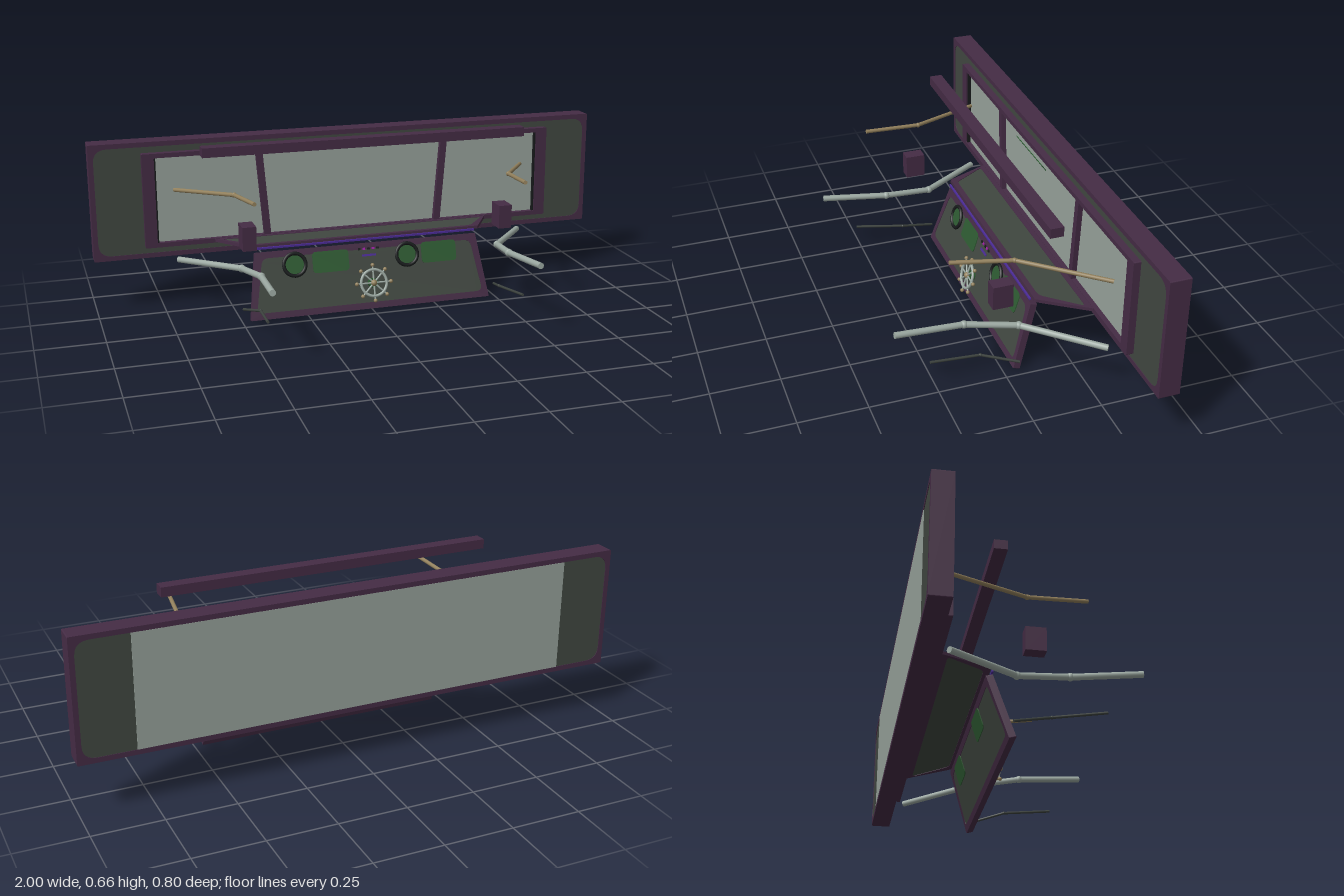
import * as THREE from 'three';

const mat = (name, color) => {
  const m = new THREE.MeshStandardMaterial({ color });
  m.name = name;
  return m;
};

export function createModel() {
  const purple = mat('plum frame', 0x452c45);
  const dark = mat('dark panel', 0x414841);
  const glass = mat('pale glass', 0x98a49c);
  const steel = mat('grey steel', 0x9ba8a1);
  const brass = mat('brass', 0x92805c);
  const iron = mat('dark iron', 0x3c423e);
  const green = mat('green screen', 0x2d5a31);
  const black = mat('black rim', 0x171a1b);
  const violet = mat('violet light', 0x4c2c98);
  const magenta = mat('magenta light', 0xa020a8);

  const model = new THREE.Group();

  const add = (parent, name, geo, material, x = 0, y = 0, z = 0) => {
    const m = new THREE.Mesh(geo, material);
    m.name = name;
    m.position.set(x, y, z);
    parent.add(m);
    return m;
  };
  const box = (parent, name, material, w, h, d, x, y, z) =>
    add(parent, name, new THREE.BoxGeometry(w, h, d), material, x, y, z);

  const group = (name, x, y, z, rx = 0) => {
    const g = new THREE.Group();
    g.name = name;
    g.position.set(x, y, z);
    g.rotation.x = rx;
    model.add(g);
    return g;
  };

  // Symmetric trapezoid with rounded corners
  const trapezoid = (bottom, top, y0, y1, r, Kind = THREE.Shape) => {
    const c = [[-bottom, y0], [bottom, y0], [top, y1], [-top, y1]].map(p => new THREE.Vector2(...p));
    const s = new Kind();
    c.forEach((p, i) => {
      const a = p.clone().add(c[(i + 3) % 4].clone().sub(p).setLength(r));
      const b = p.clone().add(c[(i + 1) % 4].clone().sub(p).setLength(r));
      if (i) s.lineTo(a.x, a.y);
      else s.moveTo(a.x, a.y);
      s.quadraticCurveTo(p.x, p.y, b.x, b.y);
    });
    s.closePath();
    return s;
  };
  const extrude = (shape, depth) => {
    const g = new THREE.ExtrudeGeometry(shape, { depth, bevelEnabled: false, curveSegments: 5 });
    return g.translate(0, 0, -depth / 2);
  };

  // Frame with an inset panel, centred on its own depth
  const framedPanel = (parent, name, bottom, top, h, depth, border, r) => {
    const shape = trapezoid(bottom, top, -h / 2, h / 2, 0.004);
    const inner = [bottom - border, top - border, -h / 2 + border, h / 2 - border, r];
    shape.holes.push(trapezoid(...inner, THREE.Path));
    add(parent, name + 'Frame', extrude(shape, depth), purple);
    add(parent, name + 'Panel', extrude(trapezoid(...inner), depth - 0.004), dark);
  };

  // Jointed rod along a list of points
  const rod = (name, points, radius, material) => {
    const g = group(name, 0, 0, 0);
    const v = points.map(p => new THREE.Vector3(...p));
    for (let i = 1; i < v.length; i++) {
      const dir = v[i].clone().sub(v[i - 1]);
      const seg = add(g, name + 'Segment', new THREE.CylinderGeometry(radius, radius, dir.length(), 14), material);
      seg.position.copy(v[i]).add(v[i - 1]).multiplyScalar(0.5);
      seg.quaternion.setFromUnitVectors(new THREE.Vector3(0, 1, 0), dir.normalize());
      if (i < v.length - 1) add(g, name + 'Joint', new THREE.SphereGeometry(radius * 1.25, 14, 10), material, ...points[i]);
    }
  };

  // Rear slab with pale glass on its back
  const slab = group('rearSlab', 0, 0.423, -0.358);
  framedPanel(slab, 'slab', 1, 1, 0.445, 0.075, 0.018, 0.05);
  box(slab, 'rearGlass', glass, 1.6, 0.409, 0.004, 0, 0, -0.036);

  // Front window
  const win = group('frontWindow', 0, 0.425, -0.308);
  const frame = trapezoid(0.81, 0.81, -0.18, 0.18, 0.004);
  frame.holes.push(trapezoid(0.765, 0.765, -0.163, 0.163, 0.004, THREE.Path));
  add(win, 'windowFrame', extrude(frame, 0.026), purple);
  box(win, 'windowGlass', glass, 1.53, 0.326, 0.006, 0, 0, -0.009);
  for (const s of [-1, 1]) {
    box(win, 'windowPost', purple, 0.026, 0.34, 0.02, s * 0.357, 0, 0.003).rotation.z = -s * 0.08;
    box(win, 'windowEdge', black, 0.006, 0.326, 0.016, s * 0.762, 0, 0);
  }

  // Overhead screen, tipped forwards
  const screen = box(model, 'overheadScreen', green, 0.24, 0.034, 0.003, 0, 0.594, -0.275);
  screen.rotation.x = 0.62;

  // Overhead beam
  box(model, 'overheadBeam', purple, 1.24, 0.035, 0.048, 0, 0.642, -0.114);

  // Shelf between window and console
  const shelf = group('shelf', 0, 0.262, -0.207, -Math.PI / 2 - 0.083);
  framedPanel(shelf, 'shelf', 0.45, 0.55, 0.18, 0.012, 0.022, 0.02);
  box(model, 'lightStrip', violet, 0.86, 0.007, 0.007, 0, 0.264, -0.109);

  // Tilted console
  const desk = group('console', 0, 0.126, -0.085, -0.297);
  framedPanel(desk, 'console', 0.47, 0.435, 0.25, 0.025, 0.024, 0.025);
  for (const x of [-0.15, 0.28])
    add(desk, 'consoleScreen', extrude(trapezoid(0.07, 0.07, -0.04, 0.04, 0.015), 0.027), green, x, 0.068, 0);
  for (const x of [-0.29, 0.15]) {
    add(desk, 'dialRim', new THREE.TorusGeometry(0.042, 0.007, 8, 28), black, x, 0.068, 0.017);
    add(desk, 'dialFace', new THREE.CylinderGeometry(0.04, 0.04, 0.006, 28).rotateX(Math.PI / 2), green, x, 0.068, 0.014);
  }
  box(desk, 'indicatorBar', violet, 0.055, 0.008, 0.004, 0, 0.078, 0.014);
  for (let i = -2; i <= 2; i++)
    box(desk, 'indicator', i % 2 ? magenta : black, 0.01, 0.008, 0.004, i * 0.018, 0.103, 0.014);

  // Steering wheel with knobbed spokes
  const wheel = new THREE.Group();
  wheel.name = 'steeringWheel';
  wheel.position.set(0, -0.027, 0.05);
  desk.add(wheel);
  add(wheel, 'wheelColumn', new THREE.CylinderGeometry(0.018, 0.018, 0.022, 12).rotateX(Math.PI / 2), green, 0, 0, -0.016);
  add(wheel, 'wheelHub', new THREE.SphereGeometry(0.012, 14, 10), brass);
  add(wheel, 'wheelRim', new THREE.TorusGeometry(0.05, 0.0055, 8, 32), steel);
  for (let i = 0; i < 8; i++) {
    const a = i * Math.PI / 4;
    const spoke = add(wheel, 'wheelSpoke', new THREE.CylinderGeometry(0.0035, 0.0035, 0.066, 8), steel,
      -Math.sin(a) * 0.033, Math.cos(a) * 0.033, 0);
    spoke.rotation.z = a;
    add(wheel, 'wheelKnob', new THREE.SphereGeometry(0.0075, 10, 8), brass,
      -Math.sin(a) * 0.067, Math.cos(a) * 0.067, 0);
  }

  // Paired side parts
  for (const s of [-1, 1]) {
    const side = pts => pts.map(([x, y, z]) => [s * x, y, z]);
    box(model, 'sidePod', purple, 0.05, 0.088, 0.073, s * 0.488, 0.355, 0.024);
    rod('upperRod', side([[0.695, 0.465, -0.29], [0.525, 0.503, -0.008], [0.498, 0.523, 0.21]]), 0.0075, brass);
    rod('mainArm', side([[0.69, 0.193, -0.29], [0.5, 0.217, -0.04], [0.468, 0.243, 0.148], [0.484, 0.267, 0.398]]), 0.0115, steel);
    rod('lowerRod', side([[0.495, 0.055, -0.05], [0.46, 0.093, 0.085], [0.475, 0.118, 0.272]]), 0.005, iron);
  }

  return model;
}
